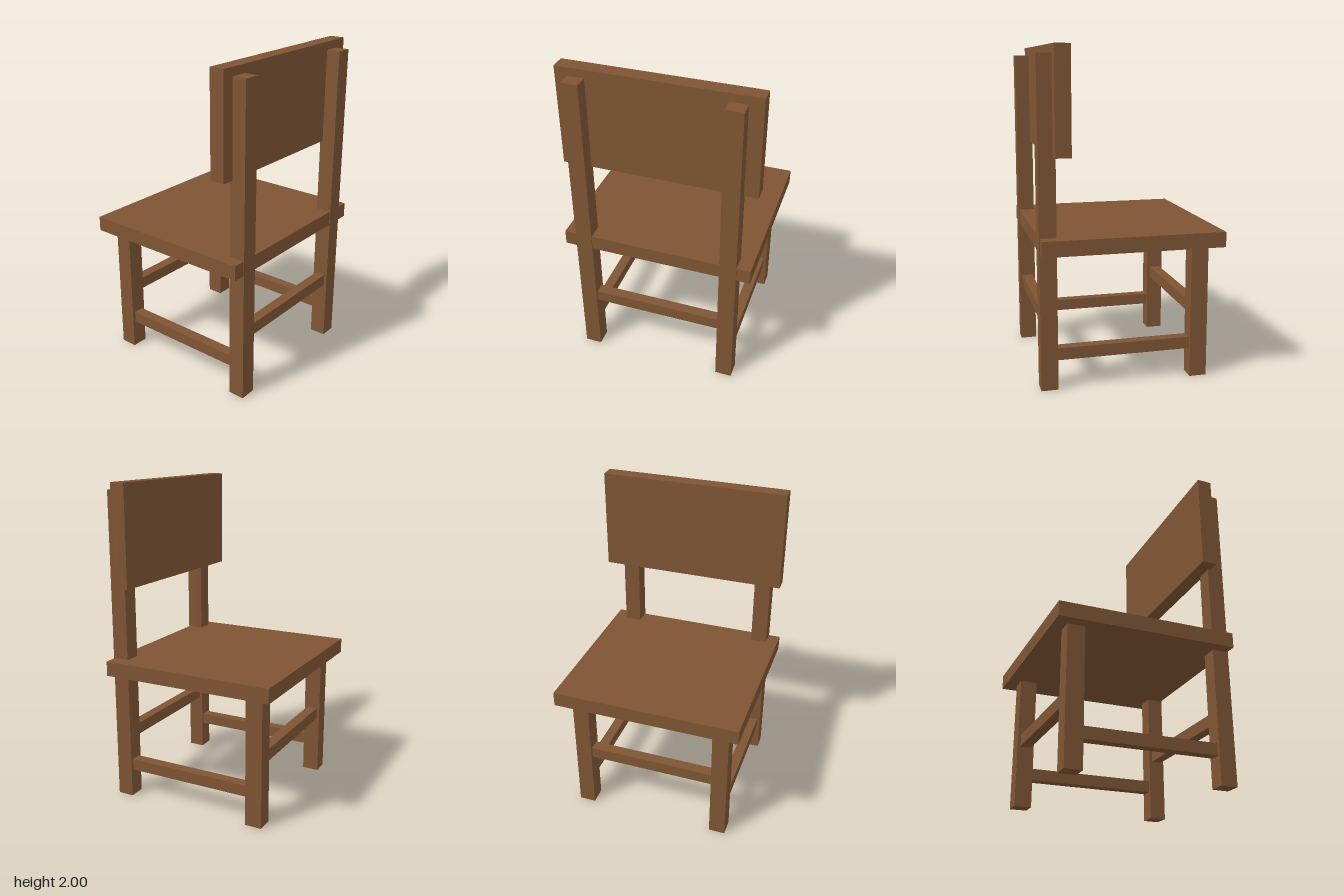
import * as THREE from 'three';

export function createModel() {
  const chair = new THREE.Group();
  chair.name = 'chair';
  const wood = new THREE.MeshStandardMaterial({ color: 0x7f5534 });
  wood.name = 'brown wood';

  // Box given by its extents along each axis
  const board = (name, [x0, x1], [y0, y1], [z0, z1]) => {
    const mesh = new THREE.Mesh(new THREE.BoxGeometry(x1 - x0, y1 - y0, z1 - z0), wood);
    mesh.name = name;
    mesh.position.set((x0 + x1) / 2, (y0 + y1) / 2, (z0 + z1) / 2);
    chair.add(mesh);
  };
  // Narrow a leg's extent to the stretcher set into its middle
  const inset = ([a, b]) => [a + 0.019, b - 0.019];

  const sides = { right: [-0.514, -0.411], left: [0.4, 0.504] };
  const rows = { short: [-0.472, -0.366], tall: [0.45, 0.552] };

  board('seat', [-0.588, 0.588], [0.825, 0.917], [-0.549, 0.547]);
  board('backrest', [-0.588, 0.588], [1.38, 2], [0.374, 0.466]);

  // Legs and the low stretchers along each side
  for (const [side, x] of Object.entries(sides)) {
    board(`${side}ShortLeg`, x, [0, 0.825], rows.short);
    board(`${side}TallLeg`, x, [0, 1.95], rows.tall);
    board(`${side}SideStretcher`, inset(x), [0.175, 0.248], [rows.short[1], rows.tall[0]]);
  }

  // Higher stretchers joining left and right legs
  for (const [row, z] of Object.entries(rows)) {
    board(`${row}LegStretcher`, [sides.right[1], sides.left[0]], [0.38, 0.455], inset(z));
  }
  return chair;
}
